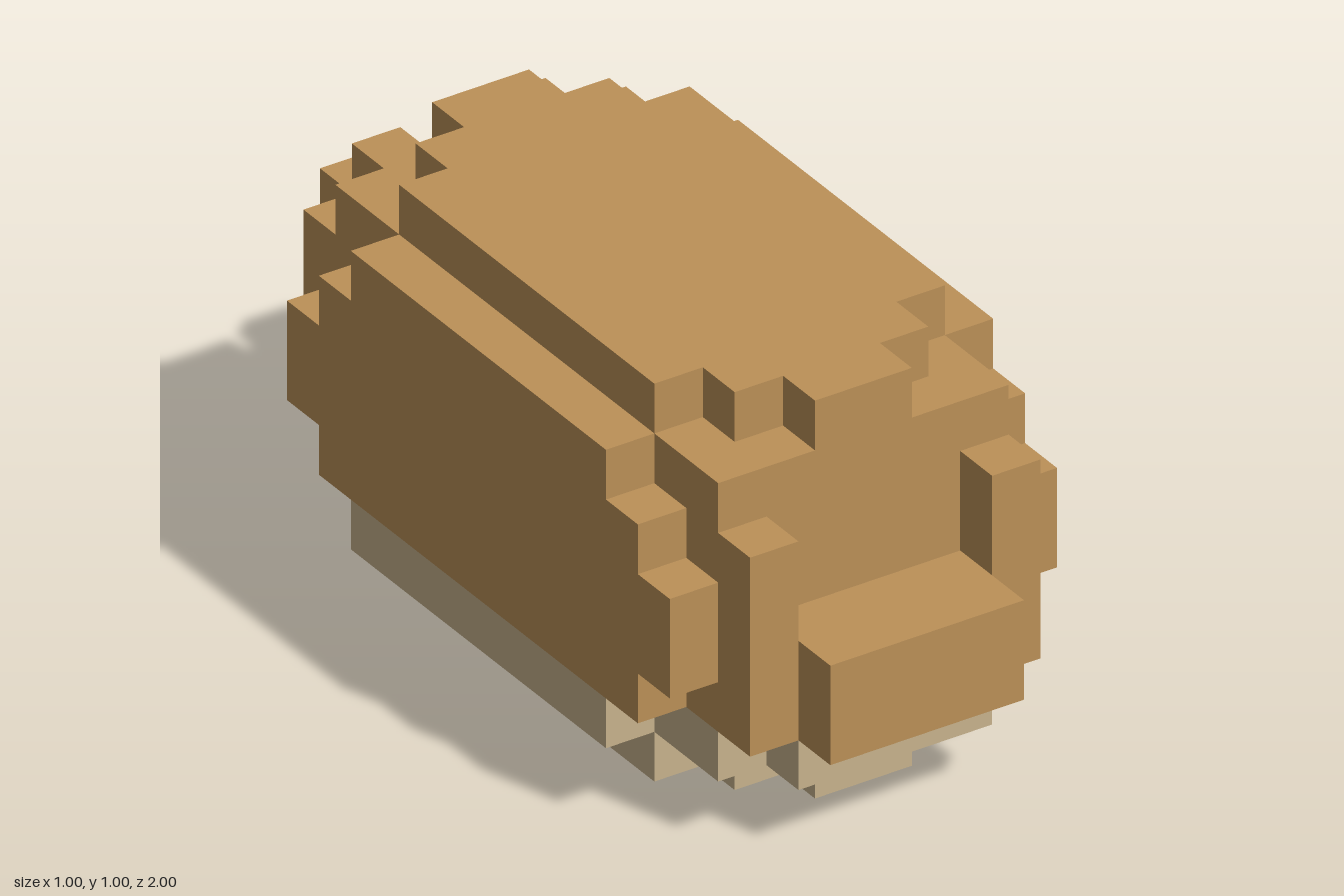
import * as THREE from 'three';

const CELL = 0.125;

// Layers from bottom to top. Each lists how many cells the columns reach
// towards the front and the back, from the middle column outwards.
const LAYERS = [
  { name: 'baseBottom', front: [6, 5, 4], back: [6, 5, 4] },
  { name: 'baseTop', front: [7, 7, 6, 4], back: [7, 7, 6, 4] },
  { name: 'lowerBody', front: [8, 8, 7, 5], back: [8, 8, 7, 5] },
  { name: 'frontLedge', front: [8, 8, 7, 6], back: [8, 8, 7, 6] },
  { name: 'middleBody', front: [6, 6, 7, 6], back: [8, 8, 7, 6] },
  { name: 'notchedBody', front: [6, 6, 7, 5], back: [6, 8, 7, 5] },
  { name: 'upperBody', front: [6, 6, 6, 4], back: [6, 7, 6, 4] },
  { name: 'topCrust', front: [6, 5, 4], back: [6, 5, 4] },
];

// Stepped edge running from -x to +x, mirrored about the middle
function steppedEdge(reach, sign) {
  const n = reach.length;
  const points = [];
  for (let i = -n; i < n; i++) {
    const y = sign * CELL * reach[i < 0 ? -i - 1 : i];
    const last = points[points.length - 1];
    if (last && last.y === y) last.x = (i + 1) * CELL;
    else points.push(new THREE.Vector2(i * CELL, y), new THREE.Vector2((i + 1) * CELL, y));
  }
  return points;
}

// One slab, one cell thick, with a stepped outline (shape y is -z)
function layerGeometry({ front, back }) {
  const outline = [...steppedEdge(front, -1), ...steppedEdge(back, 1).reverse()];
  const geometry = new THREE.ExtrudeGeometry(new THREE.Shape(outline), {
    depth: CELL,
    bevelEnabled: false,
  });
  return geometry.rotateX(-Math.PI / 2);
}

export function createModel() {
  const crust = new THREE.MeshStandardMaterial({ color: 0xbc9158 });
  crust.name = 'golden brown';
  const base = new THREE.MeshStandardMaterial({ color: 0xc9b48e });
  base.name = 'pale beige';

  const model = new THREE.Group();
  model.name = 'steppedLoaf';
  LAYERS.forEach((layer, i) => {
    const mesh = new THREE.Mesh(layerGeometry(layer), i < 2 ? base : crust);
    mesh.name = layer.name;
    mesh.position.y = i * CELL;
    model.add(mesh);
  });
  return model;
}
